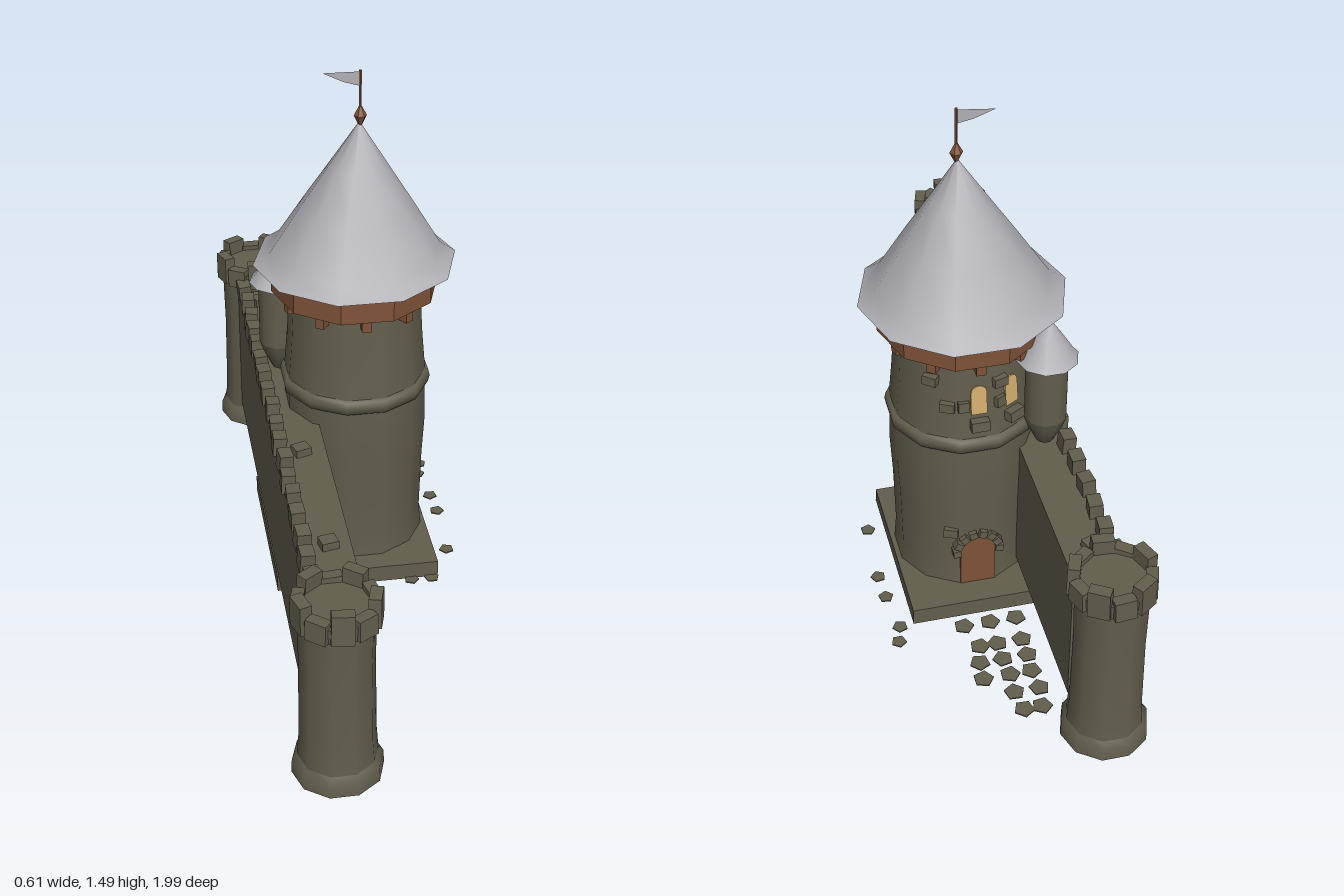
import * as THREE from 'three';

export function createModel() {
  const mat = (name, color, extra = {}) => new THREE.MeshStandardMaterial({ name, color, ...extra });
  const stone = mat('stone', 0x625e4d);
  const wood = mat('wood', 0x7f5338, { flatShading: true });
  const slate = mat('roof slate', 0xb0b0b5, { side: THREE.DoubleSide });
  const glow = mat('window glow', 0xd2ae6e);

  const model = new THREE.Group();
  model.name = 'castle';
  let seed = 7;
  const rand = () => (seed = (seed * 16807) % 2147483647) / 2147483647;
  const jitter = (a) => (rand() - 0.5) * 2 * a;

  function add(parent, name, geo, material, x = 0, y = 0, z = 0) {
    const m = new THREE.Mesh(geo, material);
    m.name = name;
    m.position.set(x, y, z);
    parent.add(m);
    return m;
  }
  function group(parent, name, x, y, z) {
    const g = new THREE.Group();
    g.name = name;
    g.position.set(x, y, z);
    parent.add(g);
    return g;
  }
  // profile points run from bottom to top; half a side of turn puts facets on the z axis
  const lathe = (pts, n) =>
    new THREE.LatheGeometry(pts.map((p) => new THREE.Vector2(p[0], p[1])), n, Math.PI / n);
  const box = (w, h, d) => new THREE.BoxGeometry(w, h, d);

  // arched plate standing on y = 0, facing +z
  function archPlate(w, h, depth) {
    const s = new THREE.Shape();
    s.moveTo(-w / 2, 0);
    s.lineTo(w / 2, 0);
    s.lineTo(w / 2, h - w / 2);
    s.absarc(0, h - w / 2, w / 2, 0, Math.PI, false);
    s.closePath();
    return new THREE.ExtrudeGeometry(s, { depth, bevelEnabled: false, curveSegments: 4 });
  }

  // ---- main tower ----
  add(model, 'towerPlatform', box(0.47, 0.05, 0.525), stone, -0.015, 0.025, -0.1375);
  const tower = group(model, 'mainTower', 0.015, 0, -0.13);
  add(tower, 'lowerBody', lathe([[0.198, 0.04], [0.192, 0.12], [0.197, 0.3], [0.204, 0.42], [0.202, 0.55]], 12), stone);
  add(tower, 'stoneBand', lathe([[0.198, 0.54], [0.212, 0.545], [0.216, 0.565], [0.212, 0.582], [0.198, 0.588]], 12), stone);
  add(tower, 'upperBody', lathe([[0.204, 0.57], [0.193, 0.7], [0.184, 0.86]], 12), stone);

  // timber gallery with brackets
  add(tower, 'timberRing', new THREE.CylinderGeometry(0.235, 0.235, 0.085, 10, 1, false, Math.PI / 10), wood, 0, 0.8875, 0);
  for (let i = 0; i < 10; i++) {
    const a = (i / 10) * Math.PI * 2;
    const b = add(tower, 'bracket', box(0.026, 0.036, 0.05), wood, Math.sin(a) * 0.188, 0.828, Math.cos(a) * 0.188);
    b.rotation.y = a;
  }

  // flared cone roof, its apex slightly off the tower axis
  const roof = group(tower, 'roof', 0, 0, 0);
  const cone = lathe([[0.285, 0.93], [0.24, 0.962], [0.16, 1.092], [0.08, 1.218], [0, 1.345]], 10);
  const p = cone.attributes.position;
  for (let i = 0; i < p.count; i++) {
    const t = (p.getY(i) - 0.93) / 0.415;
    p.setX(i, p.getX(i) + 0.012 * t);
    p.setZ(i, p.getZ(i) + 0.008 * t);
  }
  add(roof, 'roofCone', cone, slate);
  add(roof, 'roofUnderside', lathe([[0.2, 0.932], [0.285, 0.93]], 10), slate);

  // finial, pole and pennant
  const finial = group(tower, 'finial', 0.014, 0, 0.01);
  add(finial, 'knob', lathe([[0.005, 1.335], [0.018, 1.362], [0.004, 1.388]], 6), wood);
  add(finial, 'pole', new THREE.CylinderGeometry(0.004, 0.004, 0.16, 6), wood, 0, 1.41, 0);
  const pennant = new THREE.Shape([[0, 1.445], [0, 1.486], [-0.1, 1.482], [-0.045, 1.457]].map((q) => new THREE.Vector2(...q)));
  add(finial, 'pennant', new THREE.ShapeGeometry(pennant), slate).rotation.y = -0.12;

  // arched opening with stone trim on the facet at the given angle
  function opening(name, angle, y, dist, w, h, material, tilt, stones) {
    const g = group(tower, name, Math.sin(angle) * dist, y, Math.cos(angle) * dist);
    g.rotation.set(-tilt, angle, 0, 'YXZ');
    add(g, name + 'Panel', archPlate(w, h, 0.009), material, 0, 0, -0.003);
    for (let i = 0; i < stones; i++) {
      const a = (i / (stones - 1)) * Math.PI;
      const r = w / 2 + 0.011;
      const s = add(g, 'archStone', box(0.022, 0.022, 0.026), stone, Math.cos(a) * r, h - w / 2 + Math.sin(a) * r, 0.002);
      s.rotation.z = a + jitter(0.15);
    }
    return g;
  }
  opening('door', Math.PI, 0.05, 0.187, 0.1, 0.17, wood, 0, 8);
  for (const a of [Math.PI, Math.PI * 7 / 6]) {
    const w = opening('window', a, 0.665, 0.189, 0.044, 0.09, glow, 0.085, 0);
    add(w, 'windowSill', box(0.05, 0.03, 0.036), stone, 0, -0.03, 0.008);
    add(w, 'windowStone', box(0.03, 0.03, 0.02), stone, -0.042, 0.03, 0.002);
  }
  // loose blocks standing proud of the back
  for (const [a, y] of [[2.7, 0.69], [2.45, 0.77], [3.45, 0.76], [2.75, 0.24]]) {
    add(tower, 'proudBlock', box(0.04, 0.028, 0.03), stone, Math.sin(a) * 0.188, y, Math.cos(a) * 0.188).rotation.y = a;
  }

  // ---- hanging turret ----
  const turret = group(model, 'turret', -0.18, 0, -0.285);
  add(turret, 'turretBase', lathe([[0, 0.5], [0.025, 0.515], [0.05, 0.57], [0.06, 0.6]], 10), stone);
  add(turret, 'turretBody', lathe([[0.06, 0.6], [0.06, 0.81]], 10), stone);
  add(turret, 'turretRoof', lathe([[0.086, 0.795], [0.068, 0.818], [0.035, 0.872], [0, 0.925]], 10), slate);
  add(turret, 'turretRoofUnderside', lathe([[0.05, 0.797], [0.086, 0.795]], 10), slate);

  // ---- curtain wall ----
  const wall = group(model, 'curtainWall', -0.18, 0, 0);
  add(wall, 'wallBody', box(0.14, 0.42, 1.62), stone, 0, 0.28, 0);
  for (let i = 0; i < 18; i++) {
    const m = add(wall, 'merlon', box(0.038, 0.055, 0.048), stone, -0.056 + jitter(0.003), 0.512 + jitter(0.005), 0.765 - i * 0.09);
    m.rotation.set(jitter(0.1), jitter(0.12), jitter(0.08));
  }
  for (const [x, z] of [[-0.01, -0.71], [0, 0.16], [0.01, 0.6]]) {
    add(wall, 'looseStone', box(0.045, 0.025, 0.04), stone, x, 0.5, z).rotation.y = jitter(0.4);
  }

  // ---- end towers ----
  for (const [z, top] of [[0.877, 0.475], [-0.883, 0.505]]) {
    const t = group(model, 'endTower', -0.19, 0, z);
    add(t, 'endTowerBase', lathe([[0.12, 0], [0.118, 0.038], [0.1, 0.062]], 10), stone);
    add(t, 'endTowerUnderside', lathe([[0, 0], [0.12, 0]], 10), stone);
    add(t, 'endTowerBody', lathe([[0.106, 0.04], [0.1, 0.12], [0.097, 0.35], [0.1, top + 0.01]], 10), stone);
    add(t, 'endTowerCrown', new THREE.CylinderGeometry(0.108, 0.104, 0.045, 10, 1, false, Math.PI / 10), stone, 0, top + 0.0225, 0);
    for (let i = 0; i < 10; i++) {
      const a = (i / 10) * Math.PI * 2;
      const h = i % 2 ? 0.058 : 0.085;
      const m = add(t, 'crownStone', box(0.058, h, 0.032), stone, Math.sin(a) * 0.097, top + 0.002 + h / 2, Math.cos(a) * 0.097);
      m.rotation.set(jitter(0.05), a + jitter(0.08), jitter(0.06));
    }
  }

  // ---- flat paving stones ----
  const path = group(model, 'pavingStones', 0, 0.003, 0);
  const pave = (x, z, r) => {
    add(path, 'pavingStone', new THREE.CylinderGeometry(r, r, 0.004, 5), stone, x, 0, z).rotation.y = rand() * 6;
  };
  const rows = [[-0.78, -0.05, 0], [-0.715, -0.06, 0.01], [-0.65, -0.055, 0.005, 0.08], [-0.59, -0.06, 0.01, 0.075],
    [-0.53, -0.06, 0.01, 0.06], [-0.445, -0.065, 0.01, 0.085]];
  for (const [z, ...xs] of rows) for (const x of xs) pave(x, z, 0.029);
  for (const [x, z] of [[0.275, -0.46], [0.26, -0.405], [0.275, -0.28], [0.28, -0.195], [0.27, 0.005], [0.14, 0.135], [0.2, 0.135]]) {
    pave(x, z, 0.022);
  }
  return model;
}
